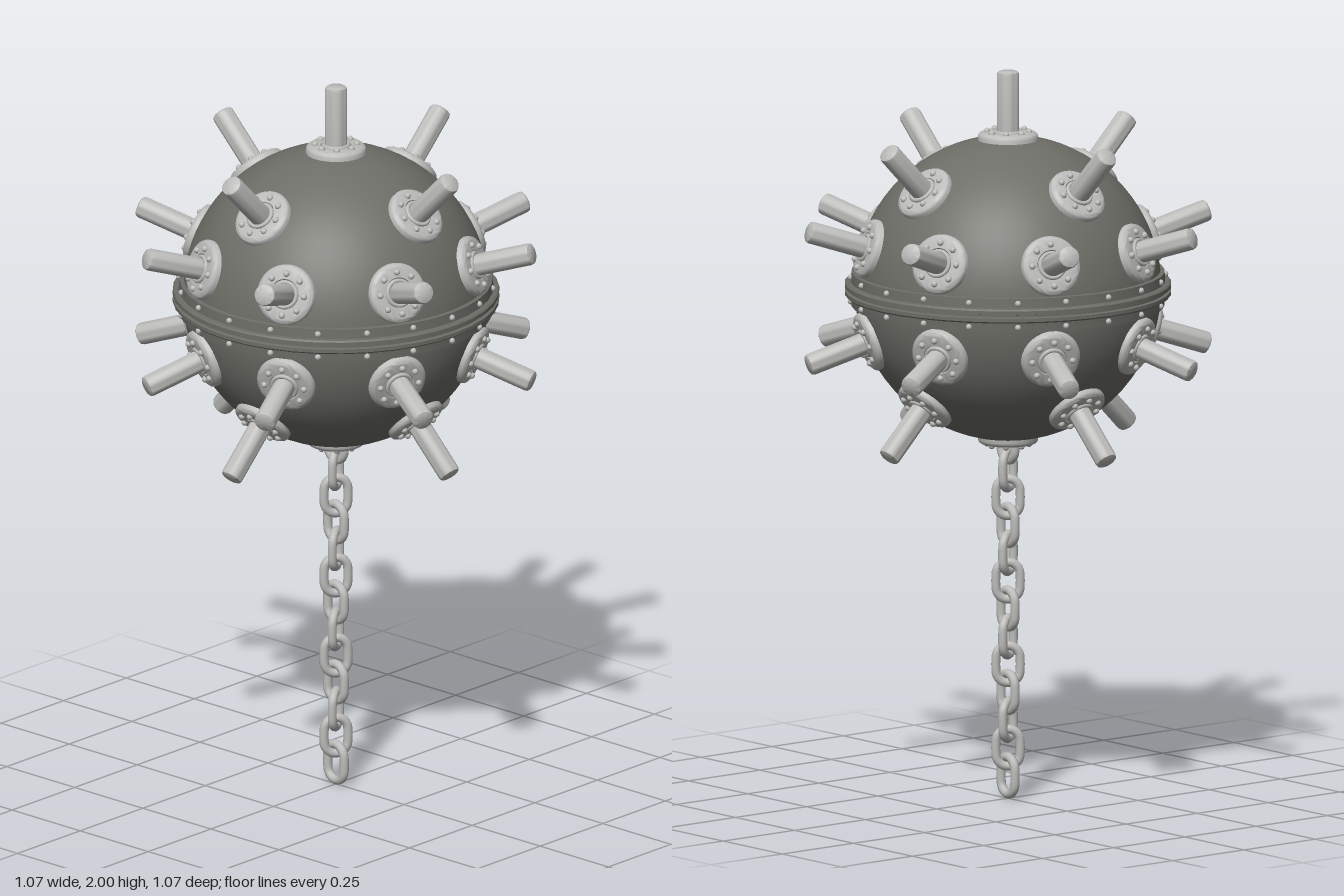
import * as THREE from 'three';
import { toCreasedNormals } from 'three/addons/utils/BufferGeometryUtils.js';

const CENTER_Y = 1.405;
const RADIUS = 0.415;
const rad = THREE.MathUtils.degToRad;

function lathe(points, segments) {
  const pts = points.map(([x, y]) => new THREE.Vector2(x, y));
  return toCreasedNormals(new THREE.LatheGeometry(pts, segments), 0.6);
}

// Closed stadium-shaped chain link, standing in the XY plane
function linkGeometry() {
  const r = 0.0325, half = 0.0185, pts = [];
  for (let i = 0; i < 20; i++) {
    const a = ((i + 0.5) / 20) * Math.PI * 2;
    pts.push(new THREE.Vector3(Math.cos(a) * r, Math.sin(a) * r + Math.sign(Math.sin(a)) * half, 0));
  }
  return new THREE.TubeGeometry(new THREE.CatmullRomCurve3(pts, true), 48, 0.0125, 10, true);
}

export function createModel() {
  const hullPaint = new THREE.MeshStandardMaterial({ color: 0x6e6e68 });
  hullPaint.name = 'dark hull paint';
  const steel = new THREE.MeshStandardMaterial({ color: 0xbcbcba });
  steel.name = 'light steel';

  const model = new THREE.Group();
  model.name = 'chainedMine';
  const add = (parent, geometry, material, name) => {
    const mesh = new THREE.Mesh(geometry, material);
    mesh.name = name;
    parent.add(mesh);
    return mesh;
  };

  const ball = new THREE.Group();
  ball.name = 'ball';
  ball.position.y = CENTER_Y;
  model.add(ball);

  // Hull and the bolted seam around its middle
  add(ball, new THREE.SphereGeometry(RADIUS, 64, 40), hullPaint, 'hull');
  add(ball, lathe([
    [0.405, -0.048], [0.424, -0.046], [0.426, -0.02], [0.438, -0.019], [0.442, -0.015],
    [0.442, -0.005], [0.432, -0.003], [0.432, 0.003], [0.442, 0.005],
    [0.442, 0.015], [0.438, 0.019], [0.426, 0.02], [0.424, 0.046], [0.405, 0.048],
  ], 40), hullPaint, 'seamBand');

  const rivet = new THREE.SphereGeometry(0.0085, 10, 8);
  for (let i = 0; i < 20; i++) {
    const a = (i / 20) * Math.PI * 2;
    for (const y of [-0.033, 0.033]) {
      add(ball, rivet, steel, 'seamRivet').position.set(Math.sin(a) * 0.426, y, Math.cos(a) * 0.426);
    }
  }

  // Shared geometry for the mounts, built along +y from the ball centre
  const flange = lathe([
    [0.082, 0.395], [0.082, 0.416], [0.079, 0.423], [0.073, 0.427], [0.066, 0.428],
    [0.042, 0.428], [0.039, 0.42], [0.0, 0.42],
  ], 32);
  const collar = new THREE.TorusGeometry(0.034, 0.006, 8, 24).rotateX(Math.PI / 2).translate(0, 0.427, 0);
  const horn = lathe([
    [0.03, 0.39], [0.03, 0.585], [0.028, 0.592], [0.023, 0.595], [0, 0.595],
  ], 24);
  const bolt = new THREE.SphereGeometry(0.009, 10, 8);

  function addMount(elevation, azimuth, withHorn) {
    const mount = new THREE.Group();
    mount.name = withHorn ? 'hornMount' : 'chainMount';
    mount.rotation.order = 'YXZ';
    mount.rotation.set(rad(90 - elevation), rad(azimuth), 0);
    add(mount, flange, steel, 'flange');
    if (withHorn) {
      add(mount, collar, steel, 'collar');
      add(mount, horn, steel, 'horn');
    }
    for (let i = 0; i < 8; i++) {
      const a = (i / 8) * Math.PI * 2;
      add(mount, bolt, steel, 'flangeBolt').position.set(Math.sin(a) * 0.057, 0.429, Math.cos(a) * 0.057);
    }
    ball.add(mount);
  }

  // One horn on top, two rings of four, two rings of eight, chain mount below
  addMount(90, 0, true);
  addMount(-90, 0, false);
  for (const side of [1, -1]) {
    for (let i = 0; i < 4; i++) addMount(45 * side, i * 90, true);
    for (let i = 0; i < 8; i++) addMount(18 * side, 22.5 + i * 45, true);
  }

  // Hanging chain, each link turned a sixth of a circle from the last
  const chain = new THREE.Group();
  chain.name = 'chain';
  model.add(chain);
  const link = linkGeometry();
  for (let i = 0; i < 13; i++) {
    const mesh = add(chain, link, steel, 'chainLink');
    mesh.position.y = 0.0635 + i * 0.0765;
    mesh.rotation.y = rad(-5 + 60 * i);
  }

  return model;
}
